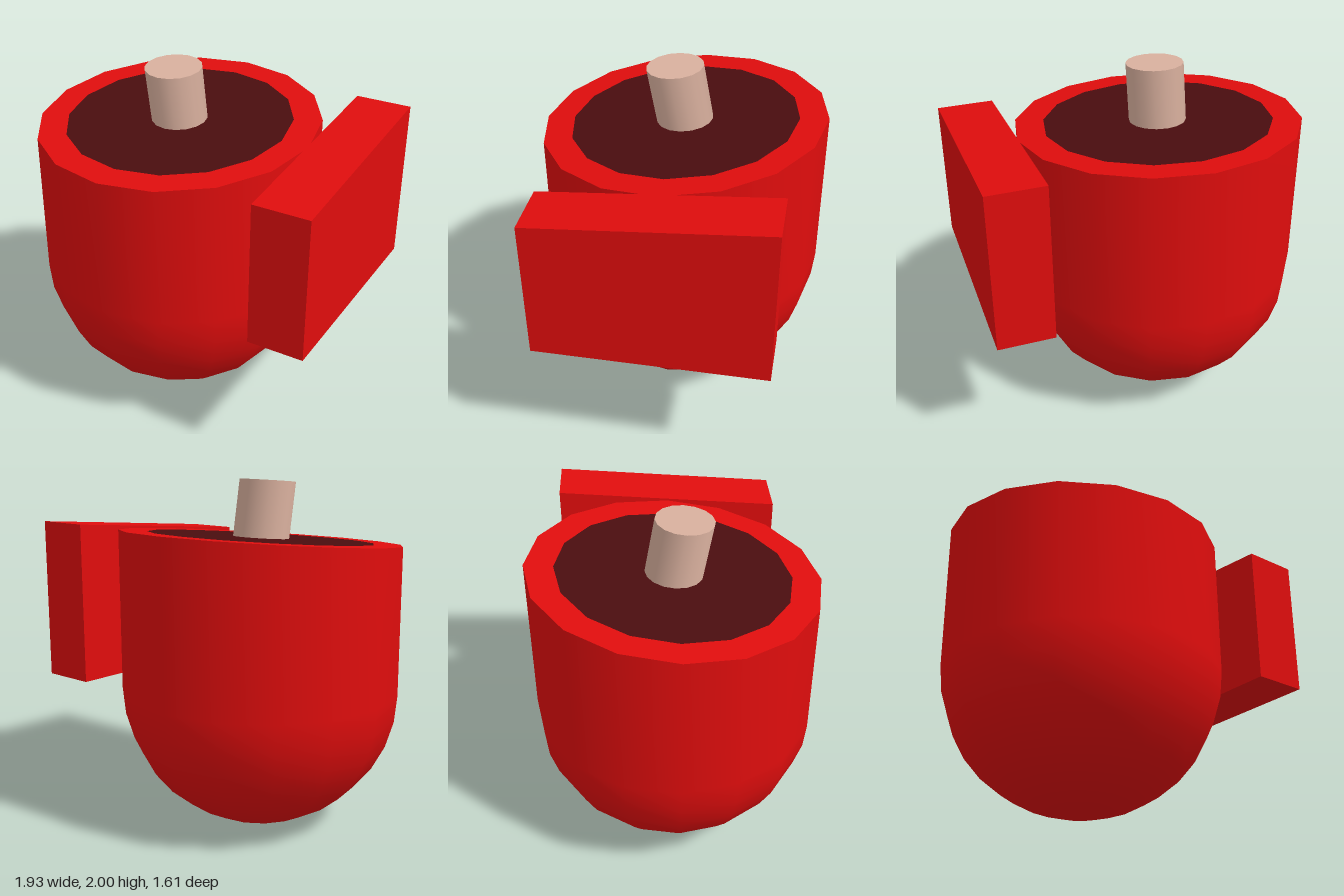
import * as THREE from 'three';

const R = 0.805;        // bowl radius
const CX = -0.16;       // bowl axis
const TOP = 1.67;       // rim height at z = 0
const SLOPE = -0.0875;  // rim drops towards the front

function addMesh(group, name, geometry, color) {
  const mesh = new THREE.Mesh(geometry, new THREE.MeshStandardMaterial({ color }));
  mesh.name = name;
  group.add(mesh);
  return mesh;
}

// Moves every vertex by rule(v)
function reshape(geometry, rule) {
  const p = geometry.attributes.position;
  const v = new THREE.Vector3();
  for (let i = 0; i < p.count; i++) {
    v.fromBufferAttribute(p, i);
    rule(v);
    p.setXYZ(i, v.x, v.y, v.z);
  }
  return geometry;
}

// Flat face lying in the sloping rim plane
function slopedFace(geometry) {
  geometry.rotateX(-Math.PI / 2);
  reshape(geometry, (v) => { v.y = TOP + SLOPE * v.z; });
  geometry.computeVertexNormals();
  return geometry.translate(CX, 0, 0);
}

export function createModel() {
  const group = new THREE.Group();
  const red = 0xe00d0d;

  // Round-bottomed body: hemisphere plus straight wall, top ring tilted
  const profile = [];
  for (let i = 0; i <= 8; i++) {
    const a = (i / 8) * Math.PI / 2;
    profile.push(new THREE.Vector2(R * Math.sin(a), R * (1 - Math.cos(a))));
  }
  profile.push(new THREE.Vector2(R, TOP));
  const body = new THREE.LatheGeometry(profile, 16);
  reshape(body, (v) => { if (v.y > TOP - 0.01) v.y += SLOPE * v.z; });
  addMesh(group, 'body', body.translate(CX, 0, 0), red);

  // Rim and dark filling share the sloping plane
  addMesh(group, 'rim', slopedFace(new THREE.RingGeometry(0.645, R, 16)), red);
  addMesh(group, 'filling', slopedFace(new THREE.CircleGeometry(0.645, 16)), 0x4a0d0f);

  // Stick leaning forward, its ends parallel to the rim
  const stick = new THREE.CylinderGeometry(0.16, 0.16, 0.317, 16);
  stick.translate(0, 0.1585, 0);
  reshape(stick, (v) => {
    const lean = v.y * 0.18;
    v.y += TOP + SLOPE * v.z;
    v.z += lean;
  });
  addMesh(group, 'stick', stick.translate(CX, 0, 0), 0xd9b09e);

  // Slab handle with a sloping top
  const handle = new THREE.BoxGeometry(0.32, 0.87, 1.29);
  reshape(handle, (v) => { v.y = v.y > 0 ? 1.682 - 0.0865 * v.z : 0.81; });
  handle.computeVertexNormals();
  addMesh(group, 'handle', handle.translate(0.805, 0, 0), red);

  return group;
}
